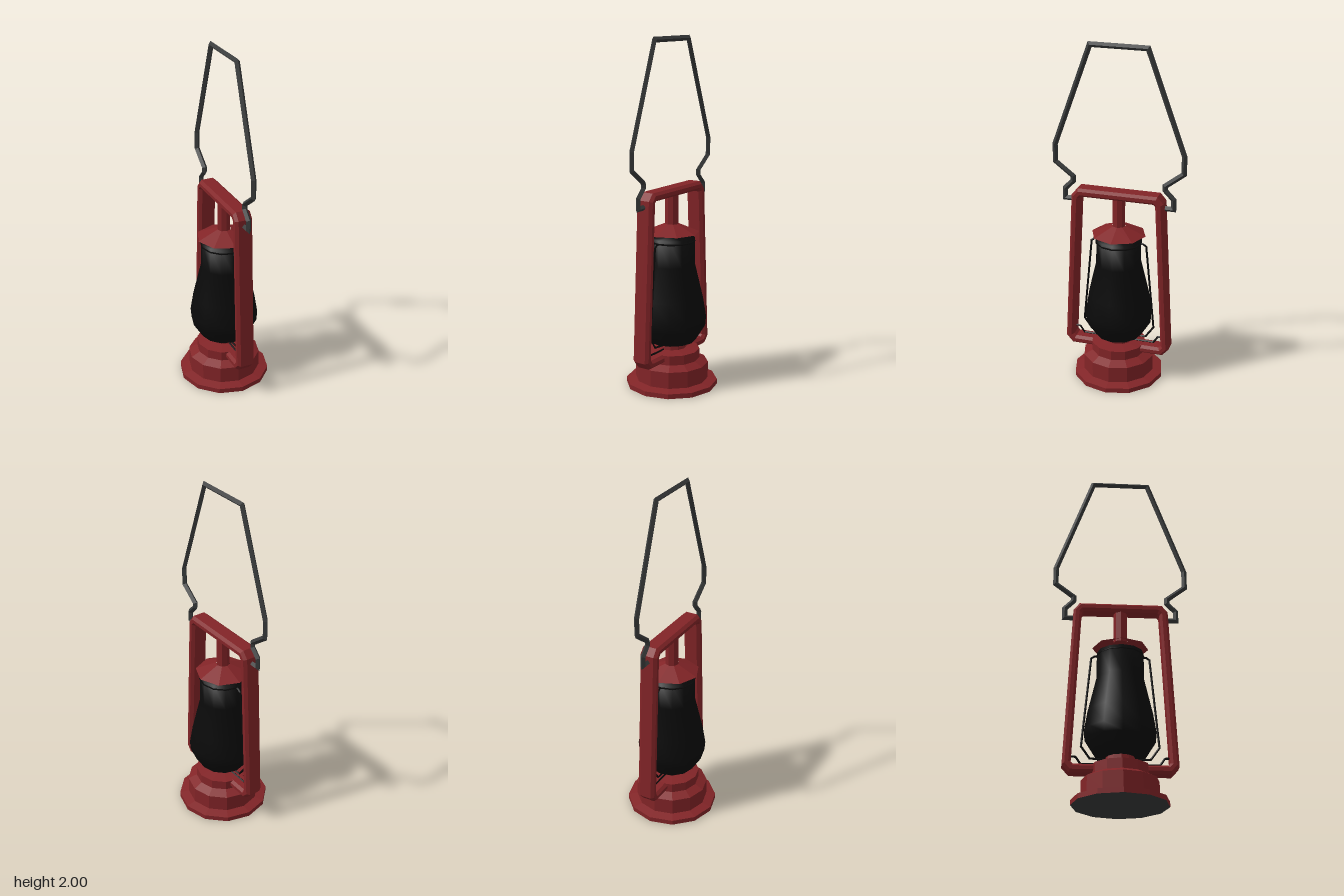
import * as THREE from 'three';

const red = new THREE.MeshStandardMaterial({ color: 0x822427 });
red.name = 'red enamel';
const redSheet = new THREE.MeshStandardMaterial({ color: 0x822427, side: THREE.DoubleSide });
redSheet.name = 'red sheet';
const black = new THREE.MeshStandardMaterial({ color: 0x0a0a0a });
black.name = 'sooty black';
const steel = new THREE.MeshStandardMaterial({ color: 0x383a3a });
steel.name = 'dark steel';

// Faceted normals
function facet(geometry) {
  const g = geometry.index ? geometry.toNonIndexed() : geometry;
  g.computeVertexNormals();
  return g;
}

const lathe = (profile, sides) =>
  new THREE.LatheGeometry(profile.map(([r, y]) => new THREE.Vector2(r, y)), sides);

// Adds the mirrored half (z -> -z) to a path of [z, y] points
const mirrorPath = (half) => [...half, ...half.map(([z, y]) => [-z, y]).reverse()];

// Sweeps a section of [normal, x] points along a [z, y] path with mitred corners
function sweep(path, section) {
  const pts = path.map(([z, y]) => new THREE.Vector2(z, y));
  const n = section.length;
  const pos = [];
  const idx = [];
  pts.forEach((p, k) => {
    const before = k > 0 ? p.clone().sub(pts[k - 1]).normalize() : null;
    const after = k < pts.length - 1 ? pts[k + 1].clone().sub(p).normalize() : null;
    const t = (before || after).clone().add(after || before).normalize();
    const stretch = 1 / t.dot(before || after);
    for (const [a, x] of section) {
      pos.push(x, p.y - t.x * a * stretch, p.x + t.y * a * stretch);
    }
    if (k === 0) return;
    for (let j = 0; j < n; j++) {
      const a = (k - 1) * n + j;
      const b = (k - 1) * n + ((j + 1) % n);
      idx.push(a, b, b + n, a, b + n, a + n);
    }
  });
  // End caps
  const last = (pts.length - 1) * n;
  for (let j = 1; j < n - 1; j++) {
    idx.push(0, j + 1, j, last, last + j, last + j + 1);
  }
  const g = new THREE.BufferGeometry();
  g.setAttribute('position', new THREE.Float32BufferAttribute(pos, 3));
  g.setIndex(idx);
  return facet(g);
}

const diamond = (r) => [[r, 0], [0, r], [-r, 0], [0, -r]];

export function createModel() {
  const group = new THREE.Group();
  group.name = 'lantern';
  const add = (name, geometry, material) => {
    const mesh = new THREE.Mesh(geometry, material);
    mesh.name = name;
    group.add(mesh);
    return mesh;
  };

  // Stepped fuel tank with burner collar
  add('base', facet(lathe([
    [0.264, 0], [0.264, 0.028], [0.21, 0.04], [0.21, 0.135], [0.16, 0.16],
    [0.16, 0.215], [0.085, 0.225], [0.08, 0.262], [0, 0.262],
  ], 12)), red);
  const bottom = add('bottomPlate', new THREE.CircleGeometry(0.264, 12), steel);
  bottom.rotation.x = Math.PI / 2;

  // Chimney
  add('chimney', lathe([
    [0, 0.262], [0.137, 0.265], [0.193, 0.355], [0.198, 0.41], [0.18, 0.52],
    [0.133, 0.72], [0.131, 0.875], [0, 0.875],
  ], 12), black);

  // Cap and its stem
  add('cap', facet(lathe([[0.158, 0.902], [0.04, 0.953]], 8)), redSheet);
  const stem = add('capStem', facet(new THREE.CylinderGeometry(0.038, 0.038, 0.2, 8)), red);
  stem.position.y = 1.04;

  // Side tubes and top bar in one bent frame
  add('frame', sweep(
    mirrorPath([[0.12, 0.192], [0.265, 0.192], [0.29, 0.22], [0.244, 1.115], [0.222, 1.141]]),
    [[0.024, -0.035], [0.024, 0.035], [0.01, 0.052], [-0.01, 0.052],
      [-0.024, 0.035], [-0.024, -0.035], [-0.01, -0.052], [0.01, -0.052]],
  ), red);

  // Carrying handle
  add('handle', sweep(mirrorPath([
    [0.26, 1.088], [0.317, 1.088], [0.317, 1.145], [0.268, 1.195], [0.268, 1.222],
    [0.372, 1.302], [0.372, 1.405], [0.162, 1.985],
  ]), diamond(0.0155)), steel);

  // Wire guard around the chimney and its lower supports
  add('guardWire', sweep(mirrorPath([
    [0.06, 0.25], [0.165, 0.258], [0.212, 0.325], [0.163, 0.84], [0.145, 0.853],
  ]), diamond(0.006)), black);
  const ring = add('guardRing', new THREE.TorusGeometry(0.132, 0.005, 4, 12), black);
  ring.rotation.x = Math.PI / 2;
  ring.position.y = 0.855;
  for (const s of [1, -1]) {
    add('guardSupport', sweep(
      [[0.27, 0.267], [0.24, 0.265], [0.213, 0.226], [0.07, 0.226]].map(([z, y]) => [s * z, y]),
      diamond(0.006),
    ), black);
  }

  return group;
}
